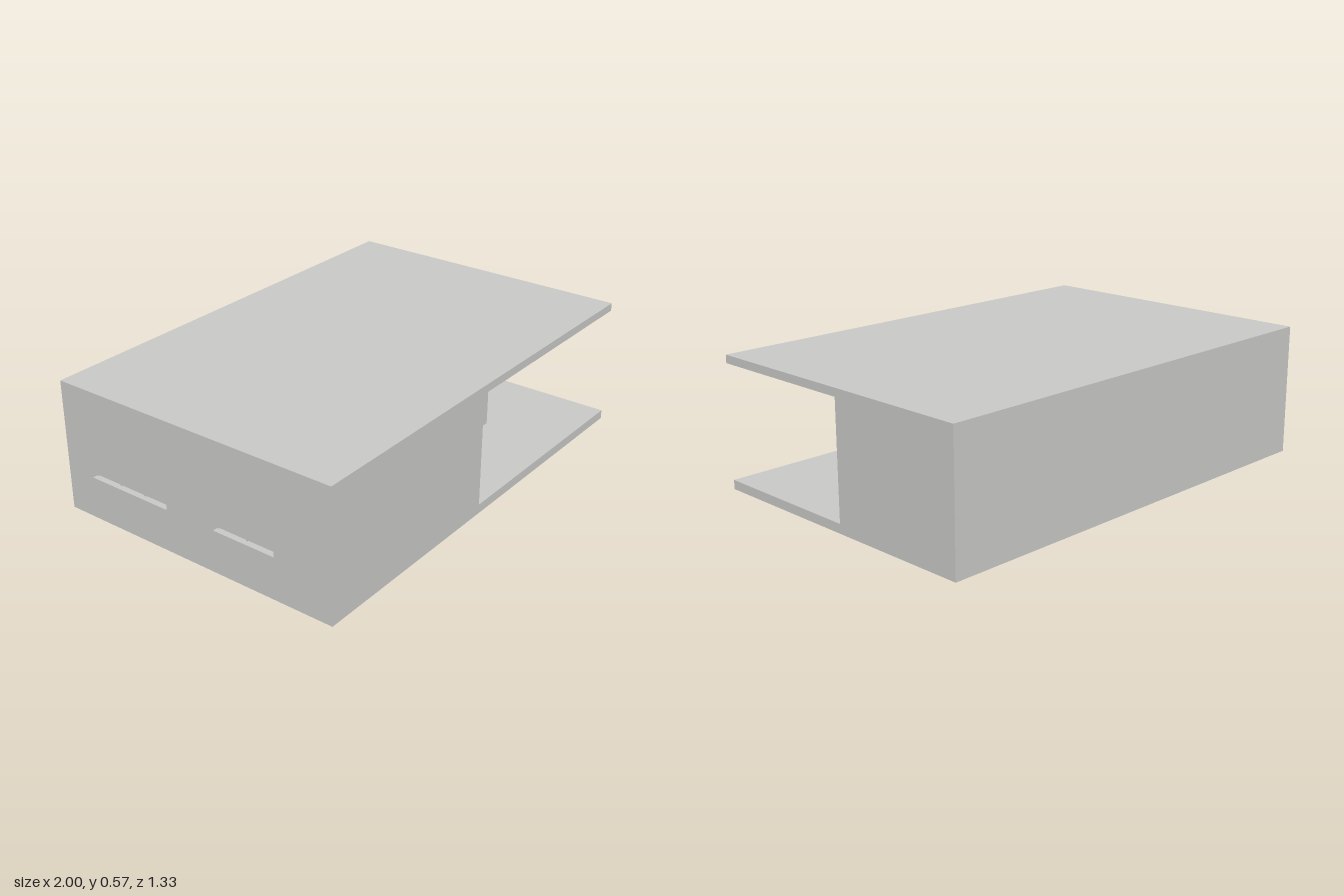
import * as THREE from 'three';

const concrete = new THREE.MeshStandardMaterial({ color: 0xc8c8c6 });
concrete.name = 'concrete grey';
const charcoal = new THREE.MeshStandardMaterial({ color: 0x68696e });
charcoal.name = 'charcoal door';

const HALF_DEPTH = 0.667, FLOOR = 0.04, CEILING = 0.535, TOP = 0.57;
const REVEAL = 0.025; // depth of the window recesses

export function createModel() {
  const house = new THREE.Group();
  house.name = 'house';

  const add = (name, geometry, material = concrete) => {
    const mesh = new THREE.Mesh(geometry, material);
    mesh.name = name;
    house.add(mesh);
    return mesh;
  };
  // box given by its minimum and maximum corners
  const box = (name, [x0, y0, z0], [x1, y1, z1], material) => {
    const mesh = add(name, new THREE.BoxGeometry(x1 - x0, y1 - y0, z1 - z0), material);
    mesh.position.set((x0 + x1) / 2, (y0 + y1) / 2, (z0 + z1) / 2);
  };

  // floor slab and flat roof
  box('floorSlab', [-1, 0, -HALF_DEPTH], [1, FLOOR, HALF_DEPTH]);
  box('flatRoof', [-1, CEILING, -HALF_DEPTH], [1, TOP, HALF_DEPTH]);

  // stepped rooms around the open corner porch, as (x, z) corners
  const plan = [
    [-1 + REVEAL, HALF_DEPTH], [-0.047, HALF_DEPTH], [-0.047, 0.315], [0.573, 0.315],
    [0.573, -0.032], [1, -0.032], [1, -HALF_DEPTH], [-1 + REVEAL, -HALF_DEPTH],
  ];
  const footprint = new THREE.Shape(plan.map(([x, z]) => new THREE.Vector2(x, -z)));
  const rooms = new THREE.ExtrudeGeometry(footprint, { depth: CEILING - FLOOR, bevelEnabled: false });
  rooms.rotateX(-Math.PI / 2).translate(0, FLOOR, 0);
  add('roomWalls', rooms);

  // window wall with openings cut through it
  const windows = [
    { z0: -0.53, z1: -0.128, panes: 3 },
    { z0: 0.112, z1: 0.403, panes: 2 },
  ];
  const SILL = 0.18, HEAD = 0.49;
  const rectangle = (Type, a, b, c, d) => new Type([[a, b], [c, b], [c, d], [a, d]]
    .map(([u, v]) => new THREE.Vector2(u, v)));
  const wall = rectangle(THREE.Shape, -HALF_DEPTH, FLOOR, HALF_DEPTH, CEILING);
  for (const w of windows) wall.holes.push(rectangle(THREE.Path, w.z0, SILL, w.z1, HEAD));
  const windowWall = new THREE.ExtrudeGeometry(wall, { depth: REVEAL, bevelEnabled: false });
  windowWall.rotateY(-Math.PI / 2).translate(-1 + REVEAL, 0, 0);
  add('windowWall', windowWall);

  // slim mullions and a slightly projecting sill in each opening
  const back = -1 + REVEAL, bar = 0.004;
  for (const w of windows) {
    for (let i = 0; i <= w.panes; i++) {
      const z = THREE.MathUtils.lerp(w.z0 + bar, w.z1 - bar, i / w.panes);
      box('windowMullion', [back - 0.005, SILL, z - bar], [back, HEAD, z + bar]);
    }
    box('windowSill', [-1.002, SILL, w.z0], [back, SILL + 0.006, w.z1]);
  }

  // front door, a thin plate on the porch wall
  box('door', [0.572, FLOOR, 0.005], [0.577, 0.423, 0.184], charcoal);

  return house;
}
